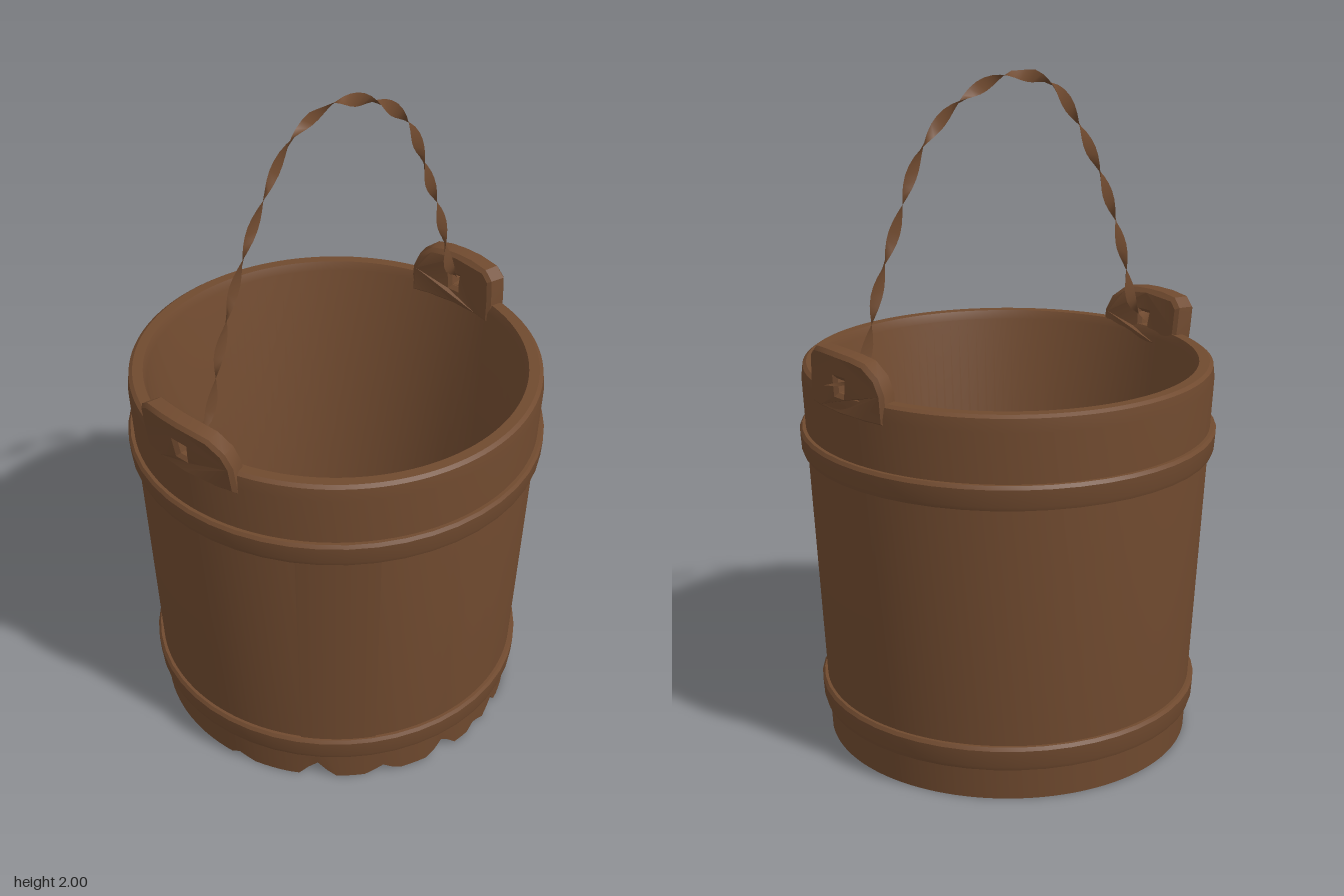
import * as THREE from 'three';
import { toCreasedNormals } from 'three/addons/utils/BufferGeometryUtils.js';

const wood = new THREE.MeshStandardMaterial({ color: 0x704a2f });
wood.name = 'brown wood';
wood.side = THREE.DoubleSide;

function addMesh(parent, name, geometry) {
  const mesh = new THREE.Mesh(geometry, wood);
  mesh.name = name;
  parent.add(mesh);
  return mesh;
}

// Closed ring turned around y from [radius, height] points
function ring(points, segments = 48, start = 0, length = Math.PI * 2) {
  const profile = points.map(([r, y]) => new THREE.Vector2(r, y));
  return new THREE.LatheGeometry(profile, segments, start, length);
}

// Outer wall radius at a height
const wallRadius = (y) => 0.552 + 0.054 * y;

// Worn notches in the foot: angle from the front, half width, height
const notches = [
  [-0.95, 0.1, 0.06], [-0.58, 0.09, 0.03], [-0.2, 0.09, 0.055], [0.07, 0.07, 0.03],
  [0.25, 0.07, 0.045], [0.85, 0.05, 0.07], [0.98, 0.05, 0.07], [-1.4, 0.06, 0.02],
];

function wallGeometry() {
  const geo = ring([
    [0.552, 0], [0.557, 0.09], [0.612, 1.12], [0.608, 1.158], [0.597, 1.166],
    [0.566, 1.166], [0.555, 1.14], [0.494, 0.08], [0.49, 0], [0.552, 0],
  ], 120);
  const pos = geo.attributes.position;
  for (let i = 0; i < pos.count; i++) {
    if (pos.getY(i) > 0.001) continue;
    const angle = Math.atan2(pos.getX(i), pos.getZ(i));
    let lift = 0;
    for (const [a, w, h] of notches) {
      lift = Math.max(lift, h * (1 - Math.abs(angle - a) / w));
    }
    pos.setY(i, lift);
  }
  return toCreasedNormals(geo, 0.5);
}

// Hoop with a slight bevel
function hoopGeometry(y0, y1, thickness) {
  const a = wallRadius(y0), b = wallRadius(y1);
  return toCreasedNormals(ring([
    [a - 0.01, y0], [a + thickness, y0], [a + thickness + 0.004, y0 + 0.012],
    [b + thickness + 0.004, y1 - 0.01], [b + thickness - 0.003, y1],
    [b - 0.01, y1], [a - 0.01, y0],
  ]), 0.5);
}

// Handle ear: a plate with a hole, bent to follow the wall
function earGeometry(side, inner, lean) {
  const shape = new THREE.Shape([
    [-0.17, 1.1], [-0.1, 1.1], [0, 1.1], [0.1, 1.1], [0.17, 1.1], [0.165, 1.19],
    [0.145, 1.235], [0.1, 1.27], [0.05, 1.278], [0, 1.28], [-0.06, 1.28],
    [-0.13, 1.275], [-0.165, 1.25], [-0.17, 1.18],
  ].map(([u, v]) => new THREE.Vector2(u, v)));
  shape.holes.push(new THREE.Path([
    [-0.016, 1.205], [0.016, 1.205], [0.012, 1.165], [-0.012, 1.165],
  ].map(([u, v]) => new THREE.Vector2(u, v))));
  const geo = new THREE.ExtrudeGeometry(shape, {
    depth: 0.045, bevelEnabled: true, bevelThickness: 0.01,
    bevelSize: 0.012, bevelOffset: -0.012, bevelSegments: 1,
  });
  const pos = geo.attributes.position;
  for (let i = 0; i < pos.count; i++) {
    const y = pos.getY(i);
    const angle = pos.getX(i) / 0.6;
    const r = inner + 0.01 + pos.getZ(i) + lean * (y - 1.1);
    pos.setXYZ(i, side * r * Math.cos(angle), y, -side * r * Math.sin(angle));
  }
  return toCreasedNormals(geo, 0.5);
}

// Flat twisted strap arching from ear to ear
function handleGeometry() {
  const curve = new THREE.CatmullRomCurve3([
    [-0.6, 1.19], [-0.545, 1.215], [-0.48, 1.42], [-0.39, 1.65], [-0.29, 1.82],
    [-0.19, 1.945], [-0.05, 1.99], [0.06, 1.975], [0.2, 1.91], [0.31, 1.8],
    [0.4, 1.6], [0.47, 1.42], [0.52, 1.24], [0.56, 1.195], [0.655, 1.2],
  ].map(([x, y]) => new THREE.Vector3(x, y, 0)));
  const steps = 84;
  const verts = [], index = [];
  for (let i = 0; i <= steps; i++) {
    const t = i / steps;
    const p = curve.getPointAt(t);
    const d = curve.getTangentAt(t);
    const twist = t * Math.PI * 13 + 0.5;
    const taper = Math.min(1, (1 - t) * 14);
    const w = 0.02 * Math.cos(twist) * taper;
    const z = 0.008 * Math.sin(twist) * taper;
    // keep the strap tip and top inside the overall size
    const limit = (x, y) => [Math.min(x, 0.655), Math.min(y, 2)];
    verts.push(...limit(p.x - d.y * w, p.y + d.x * w), z);
    verts.push(...limit(p.x + d.y * w, p.y - d.x * w), -z);
    if (i < steps) {
      const k = i * 2;
      index.push(k, k + 1, k + 3, k, k + 3, k + 2);
    }
  }
  const geo = new THREE.BufferGeometry();
  geo.setAttribute('position', new THREE.Float32BufferAttribute(verts, 3));
  geo.setIndex(index);
  geo.computeVertexNormals();
  return geo;
}

export function createModel() {
  const model = new THREE.Group();
  model.name = 'woodenBucket';

  const tub = new THREE.Group();
  tub.name = 'tub';
  tub.position.x = -0.01;
  model.add(tub);

  // Wall and floor
  addMesh(tub, 'wall', wallGeometry());
  const floor = addMesh(tub, 'floor', new THREE.CylinderGeometry(0.494, 0.492, 0.04, 48));
  floor.position.y = 0.06;

  // Slightly raised stave at the front right
  const stave = [0.17, 0.91].map((y) => [wallRadius(y) + 0.004, y]);
  addMesh(tub, 'raisedStave', ring(stave, 6, -1.03, 0.4));

  // Hoops
  addMesh(tub, 'lowerHoop', hoopGeometry(0.1, 0.172, 0.013));
  addMesh(tub, 'upperHoop', hoopGeometry(0.9, 0.972, 0.014));

  // Ears, the right one leaning outward
  addMesh(tub, 'leftEar', earGeometry(1, 0.55, 0.02));
  addMesh(tub, 'rightEar', earGeometry(-1, 0.556, 0.14));

  addMesh(model, 'handle', handleGeometry());
  return model;
}
